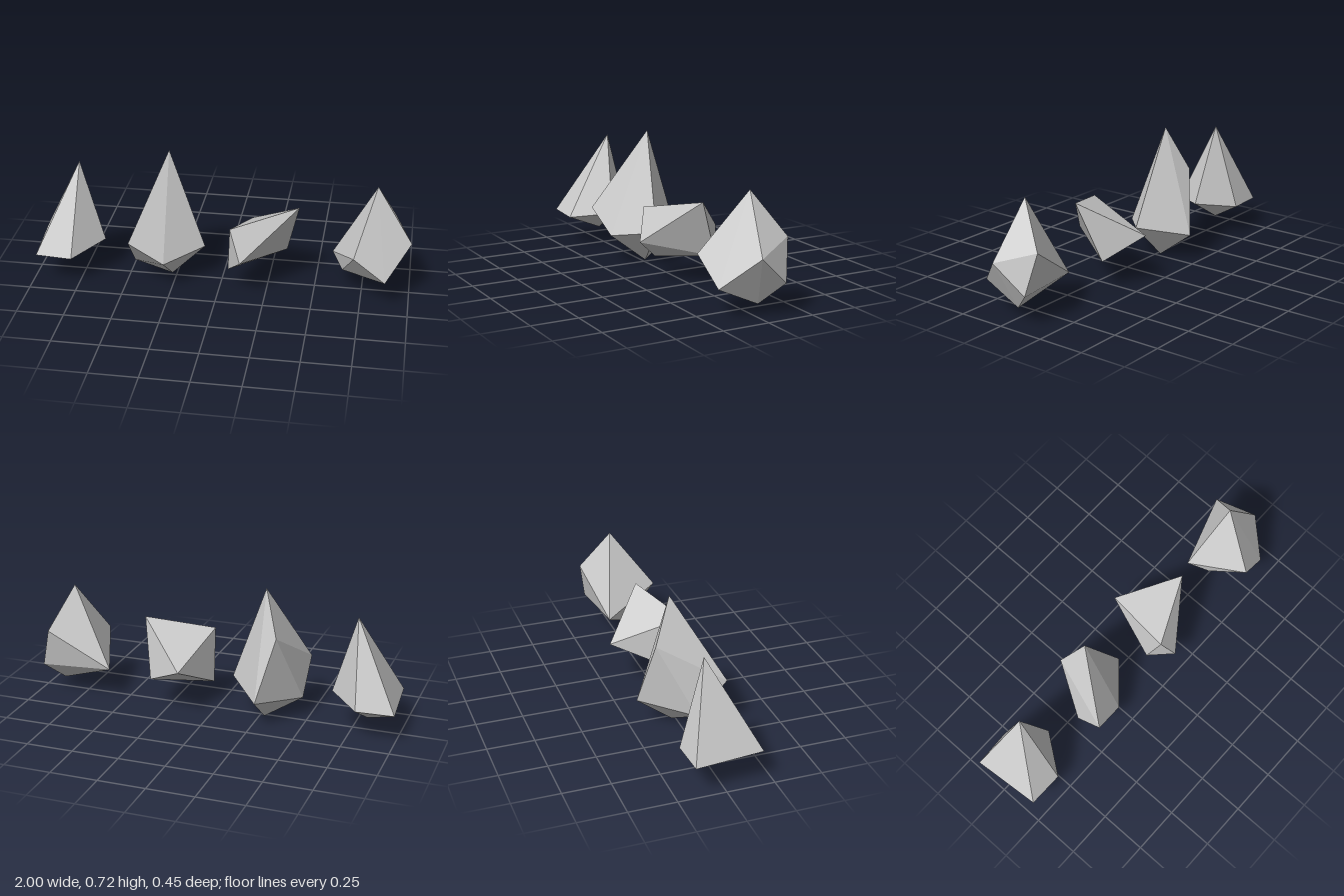
import * as THREE from 'three';
import { ConvexGeometry } from 'three/addons/geometries/ConvexGeometry.js';

const stone = new THREE.MeshStandardMaterial({ color: 0xcccccc, flatShading: true });

// A faceted shard: the convex hull of its few corner points
function shard(name, corners) {
  const points = corners.map(([x, y, z]) => new THREE.Vector3(x, y, z));
  const mesh = new THREE.Mesh(new ConvexGeometry(points), stone);
  mesh.name = name;
  return mesh;
}

// Each shard lists its peak, then the girdle, then its lowest point
const shards = {
  // five-sided spike with a shallow pointed base
  spikeShard: [
    [-0.77, 0.625, -0.04],
    [-1, 0.165, -0.16], [-0.8, 0.165, -0.17], [-0.635, 0.19, 0],
    [-0.78, 0.16, 0.2], [-0.97, 0.17, 0.2],
    [-0.83, 0.07, -0.01],
  ],
  // tallest shard, with a shoulder at the back
  tallShard: [
    [-0.285, 0.722, -0.04],
    [-0.37, 0.49, -0.14], [-0.28, 0.147, -0.213], [-0.09, 0.195, 0.01],
    [-0.285, 0.16, 0.185], [-0.465, 0.285, 0.21], [-0.465, 0.105, 0.05],
    [-0.275, 0, -0.02],
  ],
  // low wedge with a slanted top
  wedgeShard: [
    [0.41, 0.465, 0.015],
    [0.065, 0.39, 0.168], [0.125, 0.22, 0.223], [0.135, 0.265, -0.224],
    [0.34, 0.155, -0.1],
    [0.045, 0.11, 0.09],
  ],
  // broad boulder with the most facets
  boulderShard: [
    [0.81, 0.606, -0.006],
    [0.905, 0.38, -0.162], [1, 0.313, 0.04], [0.71, 0.297, 0.222],
    [0.585, 0.17, -0.085], [0.96, 0.167, -0.123], [0.875, 0.157, 0.202],
    [0.645, 0.12, 0.02],
    [0.885, 0.06, -0.012],
  ],
};

export function createModel() {
  const model = new THREE.Group();
  model.name = 'rockShards';
  for (const [name, corners] of Object.entries(shards)) model.add(shard(name, corners));
  return model;
}
